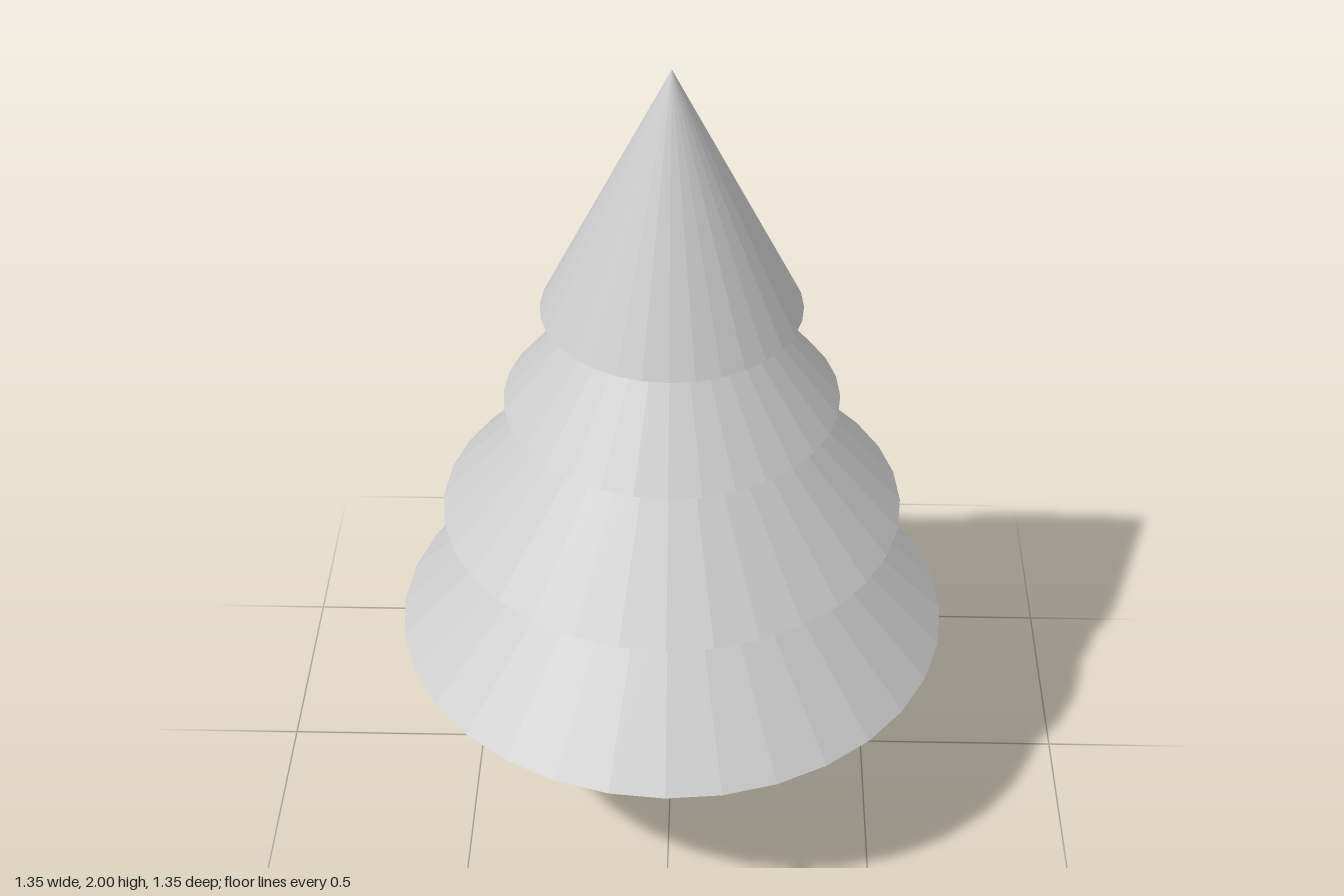
import * as THREE from 'three';

const SIDES = 32;

export function createModel() {
  const tree = new THREE.Group();
  tree.name = 'pottedTree';
  const material = new THREE.MeshStandardMaterial({ color: 0xcccccc, flatShading: true });

  // Closed round section between two heights
  function addSection(name, bottomY, topY, bottomRadius, topRadius) {
    const geometry = topRadius > 0
      ? new THREE.CylinderGeometry(topRadius, bottomRadius, topY - bottomY, SIDES)
      : new THREE.ConeGeometry(bottomRadius, topY - bottomY, SIDES);
    const mesh = new THREE.Mesh(geometry, material);
    mesh.name = name;
    mesh.position.y = (bottomY + topY) / 2;
    tree.add(mesh);
  }

  // Tapered pot with a projecting rim
  addSection('pot', 0, 0.26, 0.122, 0.15);
  addSection('potRim', 0.249, 0.274, 0.162, 0.162);

  // Trunk, running from inside the pot into the lowest branches
  addSection('trunk', 0.2, 0.52, 0.072, 0.072);

  // Branch tiers, each one tucked into the tier above
  const tiers = [
    [0.475, 0.86, 0.677, 0.303],
    [0.825, 1.17, 0.557, 0.247],
    [1.138, 1.42, 0.398, 0.176],
    [1.39, 2, 0.304, 0],
  ];
  tiers.forEach((tier, i) => addSection(`branchTier${i + 1}`, ...tier));

  return tree;
}
